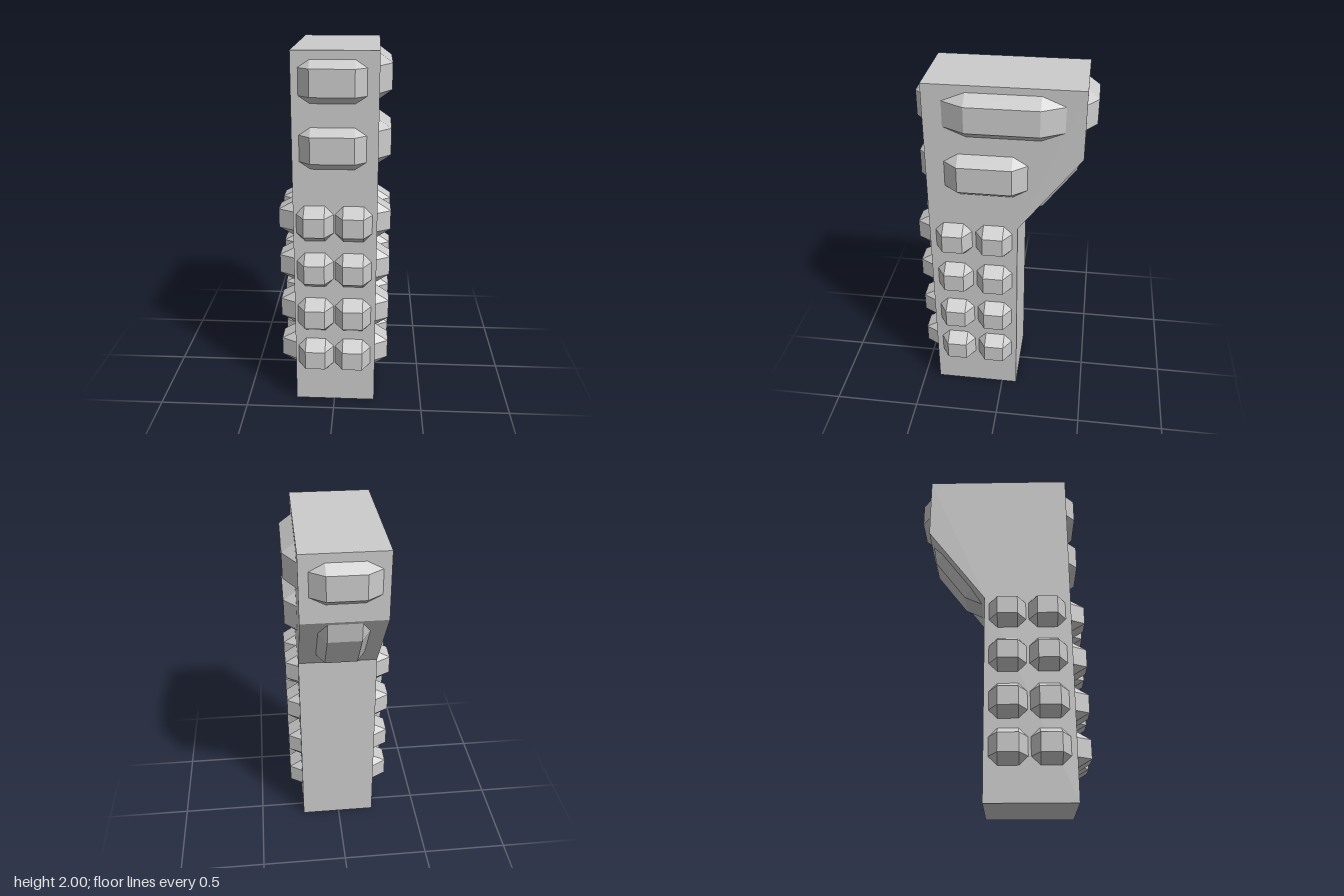
import * as THREE from 'three';

const grey = new THREE.MeshStandardMaterial({ color: 0xcccccc, flatShading: true });

// Raised pad facing +z: octagonal base on the wall, rectangular outer face.
function padGeometry(baseW, baseH, tipW, tipH, depth) {
  const B = baseW / 2, H = baseH / 2, t = tipW / 2, h = tipH / 2;
  const tip = [[-t, -h], [t, -h], [t, h], [-t, h]].map(([x, y]) => [x, y, depth]);
  // base points counter-clockwise, two per outer corner
  const base = [[-B, -h], [-t, -H], [t, -H], [B, -h], [B, h], [t, H], [-t, H], [-B, h]]
    .map(([x, y]) => [x, y, 0]);
  const v = [];
  const tri = (a, b, c) => v.push(...a, ...b, ...c);
  const quad = (a, b, c, d) => { tri(a, b, c); tri(a, c, d); };
  quad(...tip);
  for (let i = 0; i < 4; i++) {
    const first = base[2 * i], second = base[2 * i + 1], next = base[(2 * i + 2) % 8];
    tri(first, second, tip[i]);
    quad(second, next, tip[(i + 1) % 4], tip[i]);
  }
  const g = new THREE.BufferGeometry();
  g.setAttribute('position', new THREE.Float32BufferAttribute(v, 3));
  g.computeVertexNormals();
  return g;
}

export function createModel() {
  const model = new THREE.Group();
  model.name = 'grip';

  const add = (name, geometry, position, turn = 0, tilt = 0) => {
    const mesh = new THREE.Mesh(geometry, grey);
    mesh.name = name;
    mesh.position.set(...position);
    mesh.rotation.set(tilt, turn, 0, 'YXZ');
    model.add(mesh);
  };

  // Body: side profile with an overhanging head at the back
  const left = 0.23, right = -0.22, front = 0.405, back = -0.428, stemBack = -0.09;
  const profile = new THREE.Shape(
    [[front, 0], [stemBack, 0], [stemBack, 1.18], [back, 1.63], [back, 2], [front, 2]]
      .map(([z, y]) => new THREE.Vector2(-z, y)));
  add('body', new THREE.ExtrudeGeometry(profile, { depth: left - right, bevelEnabled: false }),
    [right, 0, 0], Math.PI / 2);

  // Small knobs: four rows of two on the front and both sides
  const knob = padGeometry(0.2, 0.2, 0.11, 0.105, 0.08);
  const sideKnob = padGeometry(0.205, 0.2, 0.113, 0.105, 0.073);
  const rightKnob = padGeometry(0.21, 0.2, 0.113, 0.105, 0.087);
  for (const y of [0.295, 0.55, 0.82, 1.09]) {
    for (const x of [-0.104, 0.104]) add('frontKnob', knob, [x, y, front]);
    for (const z of [0.042, 0.268]) {
      add('leftKnob', sideKnob, [left, y, z], Math.PI / 2);
      add('rightKnob', rightKnob, [right, y, z], -Math.PI / 2);
    }
  }

  // Large pads around the head
  const wide = padGeometry(0.35, 0.22, 0.23, 0.14, 0.055);
  add('frontUpperPad', wide, [-0.007, 1.845, front]);
  add('frontLowerPad', wide, [-0.007, 1.502, front]);
  add('backPad', padGeometry(0.36, 0.22, 0.2, 0.135, 0.057), [0, 1.842, back], Math.PI);
  add('leftUpperPad', padGeometry(0.63, 0.24, 0.385, 0.14, 0.068), [left, 1.843, -0.012], Math.PI / 2);
  add('leftLowerPad', padGeometry(0.445, 0.24, 0.29, 0.145, 0.068), [left, 1.502, 0.082], Math.PI / 2);

  // Pad on the slanted underside of the head
  const slope = Math.atan2(stemBack - back, 0.45);
  add('slopePad', padGeometry(0.27, 0.5, 0.18, 0.3, 0.054),
    [0, 1.18 + 0.285 * Math.cos(slope), stemBack - 0.285 * Math.sin(slope)], Math.PI, slope);

  return model;
}
